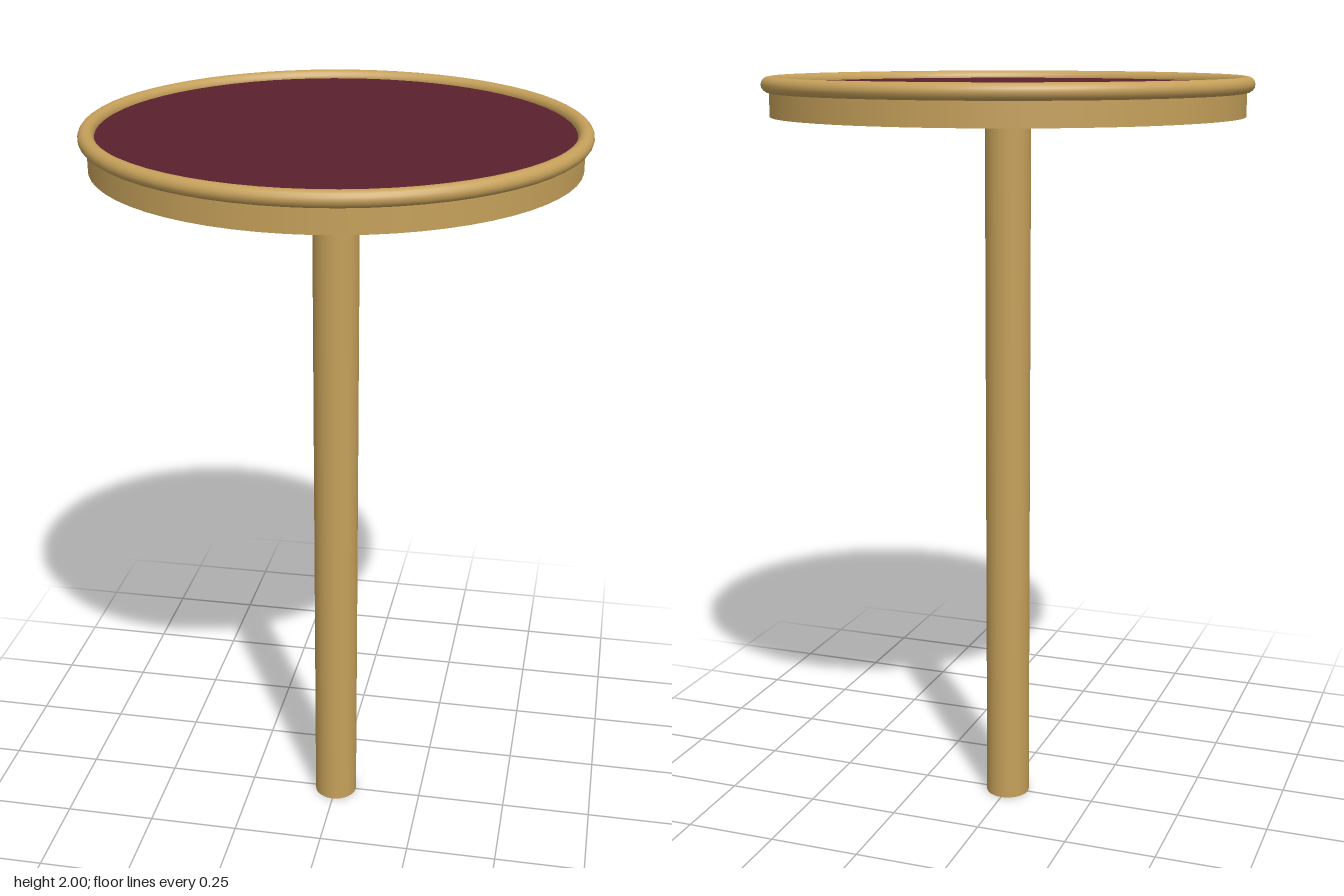
import * as THREE from 'three';

export function createModel() {
  const brass = new THREE.MeshStandardMaterial({ color: 0xc5a05a });
  brass.name = 'brass';
  const burgundy = new THREE.MeshStandardMaterial({ color: 0x5a212d });
  burgundy.name = 'burgundy';

  const group = new THREE.Group();
  group.name = 'roundTopStand';
  const add = (name, geometry, material, y) => {
    const mesh = new THREE.Mesh(geometry, material);
    mesh.name = name;
    mesh.position.y = y;
    group.add(mesh);
    return mesh;
  };

  // Straight pole from the ground to the underside of the top
  add('pole', new THREE.CylinderGeometry(0.06, 0.06, 1.9, 32), brass, 0.95);

  // Shallow drum that carries the inlay
  add('topDrum', new THREE.CylinderGeometry(0.61, 0.61, 0.075, 64), brass, 1.9375);

  // Rounded rim around the upper edge
  add('rim', new THREE.TorusGeometry(0.61, 0.02, 16, 64).rotateX(Math.PI / 2), brass, 1.98);

  // Thin coloured inlay inside the rim
  add('inlay', new THREE.CylinderGeometry(0.595, 0.595, 0.006, 64), burgundy, 1.977);

  return group;
}
